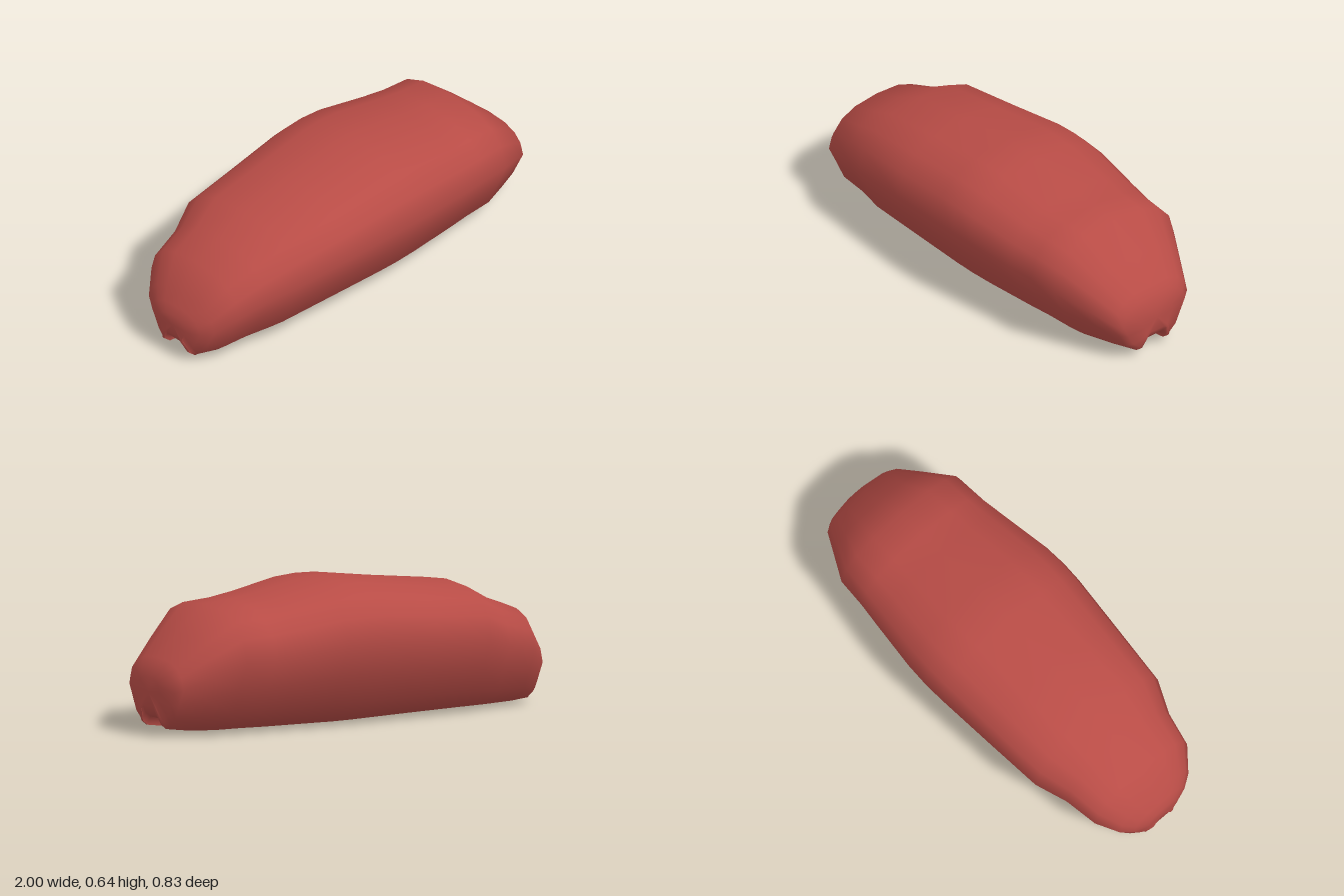
import * as THREE from 'three';
import { toCreasedNormals } from 'three/addons/utils/BufferGeometryUtils.js';

// Lengthwise stations: x, top height, half width, bottom height, groove ceiling
const STATIONS = [
  [-1, 0.22, 0.085, 0.1, 0.12],
  [-0.98, 0.26, 0.15, 0.05, 0.085],
  [-0.945, 0.315, 0.205, 0.02, 0.07],
  [-0.86, 0.44, 0.275, 0.012, 0.068],
  [-0.71, 0.495, 0.305, 0.008, 0.068],
  [-0.57, 0.57, 0.365, 0.007, 0.068],
  [-0.28, 0.603, 0.39, 0.004, 0.068],
  [0, 0.64, 0.413, 0, 0.068],
  [0.1, 0.643, 0.416, 0, 0.068],
  [0.21, 0.635, 0.411, 0.002, 0.068],
  [0.45, 0.59, 0.38, 0.005, 0.068],
  [0.57, 0.573, 0.364, 0.008, 0.068],
  [0.71, 0.564, 0.355, 0.01, 0.068],
  [0.85, 0.445, 0.275, 0.02, 0.07],
  [0.955, 0.345, 0.215, 0.035, 0.075],
  [0.98, 0.31, 0.18, 0.055, 0.095],
  [1, 0.26, 0.09, 0.115, 0.13],
];

// Half profile of the shell: fraction of half width, fraction of height
const PROFILE = [
  [0, 1], [0.46, 0.975], [0.745, 0.9], [0.92, 0.778], [1, 0.598],
  [0.84, 0.37], [0.697, 0.166], [0.505, 0.057], [0.235, 0],
];

// Closed cross-section, running from the top towards +z and round again
function section([x, top, halfWidth, bottom, ceiling]) {
  const half = PROFILE.map(([w, h]) => [w * halfWidth, bottom + h * (top - bottom)]);
  // Underside lip, then the walls of the lengthwise groove
  const groove = Math.min(0.072, halfWidth * 0.6);
  half[8][0] = Math.max(half[8][0], groove + 0.012);
  half[7][0] = Math.max(half[7][0], half[8][0]);
  half.push(
    [groove, bottom],
    [groove * 0.97, bottom + (ceiling - bottom) * 0.3],
    [groove * 0.7, ceiling],
    [0, ceiling],
  );
  const mirrored = half.slice(1, -1).reverse().map(([z, y]) => [-z, y]);
  return [...half, ...mirrored].map(([z, y]) => [x, y, z]);
}

function shellGeometry() {
  const rings = STATIONS.map(section);
  const count = rings[0].length;
  const positions = rings.flat(2);
  const index = [];

  // Skin between neighbouring sections
  for (let i = 0; i < rings.length - 1; i++) {
    for (let j = 0; j < count; j++) {
      const k = (j + 1) % count;
      const a = i * count + j, b = i * count + k;
      index.push(a, b, b + count, a, b + count, a + count);
    }
  }

  // Flat end caps
  const last = rings.length - 1;
  for (const i of [0, last]) {
    const [x, top, , , ceiling] = STATIONS[i];
    const centre = positions.length / 3;
    positions.push(x, (top + ceiling) / 2, 0);
    for (let j = 0; j < count; j++) {
      const a = i * count + j, b = i * count + (j + 1) % count;
      if (i === last) index.push(centre, a, b);
      else index.push(centre, b, a);
    }
  }

  const geometry = new THREE.BufferGeometry();
  geometry.setAttribute('position', new THREE.Float32BufferAttribute(positions, 3));
  geometry.setIndex(index);
  return toCreasedNormals(geometry, 1.1);
}

export function createModel() {
  const group = new THREE.Group();
  group.name = 'groovedShell';

  const red = new THREE.MeshStandardMaterial({ color: 0xb84c46 });
  red.name = 'brick red';

  const shell = new THREE.Mesh(shellGeometry(), red);
  shell.name = 'shell';
  group.add(shell);
  return group;
}
